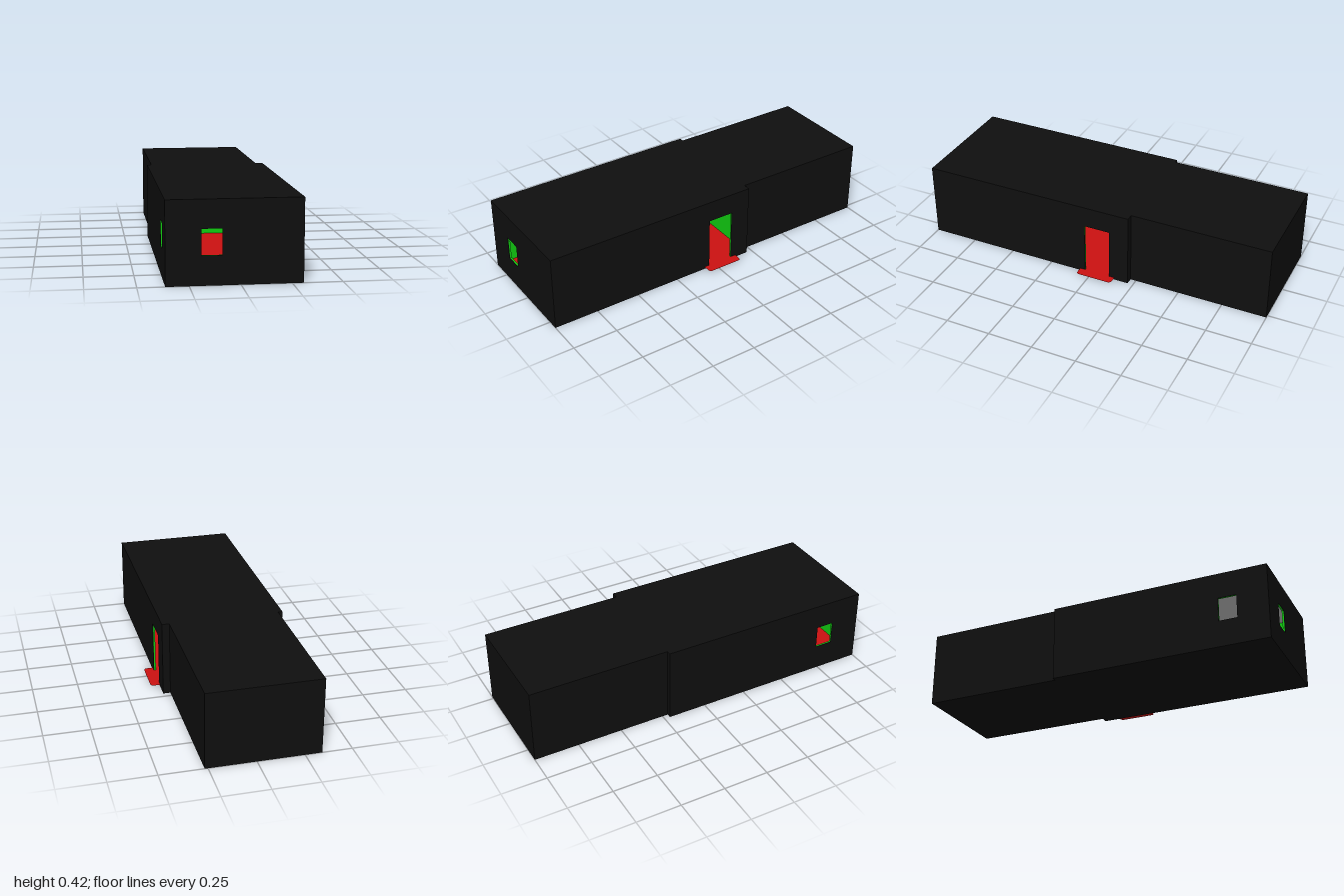
import * as THREE from 'three';

const BLACK = 0x0f0f0f, GREEN = 0x11cc11, RED = 0xcc1111, GREY = 0xcccccc;
const SKIN = 0.002, LINER = 0.01;
const H = 0.42, FLOOR = 0.012;
// Front hall outline
const X0 = -0.365, X1 = 0.307, Z0 = -0.218, Z1 = 1;

function mesh(name, geometry, color, side = THREE.FrontSide) {
  const m = new THREE.Mesh(geometry, new THREE.MeshStandardMaterial({ color, side }));
  m.name = name;
  return m;
}

// Box given by its lowest and highest corners
function box(name, [ax, ay, az], [bx, by, bz], color) {
  const m = mesh(name, new THREE.BoxGeometry(bx - ax, by - ay, bz - az), color);
  m.position.set((ax + bx) / 2, (ay + by) / 2, (az + bz) / 2);
  return m;
}

// Upright panel from u0 to u1 with an optional [u0, u1, y0, y1] opening
function panel(name, u0, u1, y0, y1, hole, depth, color) {
  const rect = (P, a, b, c, d) =>
    new P().moveTo(a, c).lineTo(b, c).lineTo(b, d).lineTo(a, d).closePath();
  const shape = rect(THREE.Shape, u0, u1, y0, y1);
  if (hole) shape.holes.push(rect(THREE.Path, ...hole));
  return mesh(name, new THREE.ExtrudeGeometry(shape, { depth, bevelEnabled: false }), color);
}

// Wall = green liner inside, black skin outside; local +z points outward
function wall(name, u0, u1, inset, hole) {
  const g = new THREE.Group();
  g.name = name;
  const liner = panel(name + 'Liner', u0 + SKIN, u1 - SKIN, 0.008, H - LINER, hole, LINER, GREEN);
  const skin = panel(name + 'Skin', u0 + inset, u1 - inset, 0, H, hole, SKIN, BLACK);
  liner.position.z = -SKIN - LINER;
  skin.position.z = -SKIN;
  g.add(liner, skin);
  return g;
}

export function createModel() {
  const model = new THREE.Group();
  model.name = 'hall';

  // Four walls of the front hall
  const front = wall('frontWall', X0, X1, 0, [-0.19, -0.09, 0.147, 0.277]);
  front.position.z = Z1;
  const partition = wall('partitionWall', -X1, -X0, 0);
  partition.rotation.y = Math.PI;
  partition.position.z = Z0;
  const left = wall('doorWall', -Z1, -Z0, SKIN, [-0.04, 0.106, 0.01, 0.302]);
  left.rotation.y = Math.PI / 2;
  left.position.x = X1;
  const right = wall('windowWall', Z0, Z1, SKIN, [0.73, 0.83, 0.147, 0.277]);
  right.rotation.y = -Math.PI / 2;
  right.position.x = X0;
  model.add(front, partition, left, right);

  // Roof, ceiling and base between the skins
  const a = X0 + SKIN, b = X1 - SKIN, c = Z0 + SKIN, d = Z1 - SKIN;
  model.add(
    box('roof', [a, H - 0.006, c], [b, H, d], BLACK),
    box('ceiling', [a, H - LINER, c], [b, H - 0.006, d], GREY),
    box('base', [a, 0, c], [b, 0.008, d], BLACK)
  );

  // Red floor sheet with a rounded doorstep (shape y becomes -z)
  const r = 0.02, step = 0.36, s0 = -0.07, s1 = 0.138;
  const f = new THREE.Shape();
  f.moveTo(a, -d).lineTo(b, -d).lineTo(b, s0).lineTo(step - r, s0);
  f.quadraticCurveTo(step, s0, step, s0 + r);
  f.lineTo(step, s1 - r);
  f.quadraticCurveTo(step, s1, step - r, s1);
  f.lineTo(b, s1).lineTo(b, -c).lineTo(a, -c).closePath();
  const floor = mesh('floorAndDoorstep', new THREE.ShapeGeometry(f, 8), RED, THREE.DoubleSide);
  floor.rotation.x = -Math.PI / 2;
  floor.position.y = FLOOR;
  model.add(floor);

  // Narrower rear block
  model.add(box('rearBlock', [-0.34, 0, -1], [0.267, H, Z0], BLACK));
  return model;
}
